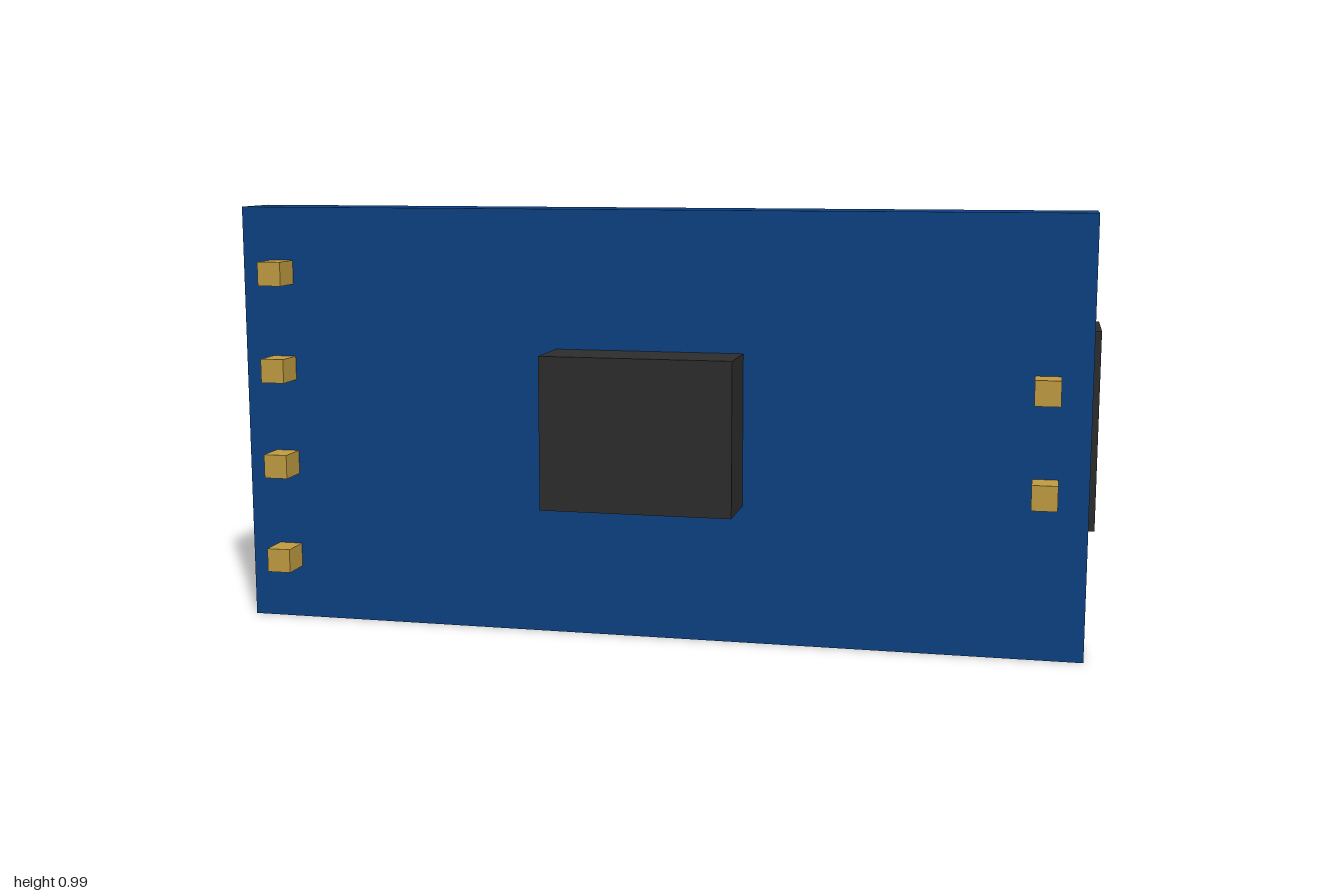
import * as THREE from 'three';

const boardBlue = new THREE.MeshStandardMaterial({ name: 'boardBlue', color: 0x0d4284 });
const plasticBlack = new THREE.MeshStandardMaterial({ name: 'plasticBlack', color: 0x2d2d2d });
const pinGold = new THREE.MeshStandardMaterial({ name: 'pinGold', color: 0xc29d42 });

const MID_Y = 0.493;
const PITCH = 0.227;
const PIN = 0.056;

// Box given by its limits along z and its centre and size in x and y
function block(name, material, x, y, width, height, zBack, zFront) {
  const mesh = new THREE.Mesh(new THREE.BoxGeometry(width, height, zFront - zBack), material);
  mesh.position.set(x, y, (zBack + zFront) / 2);
  mesh.name = name;
  return mesh;
}

// Pin header: plastic housing behind the board, pins passing through it
function pinHeader(name, x, count) {
  const header = new THREE.Group();
  header.name = name;
  header.add(block('housing', plasticBlack, x, MID_Y, PITCH, PITCH * count, -0.121, 0.104));
  for (let i = 0; i < count; i++) {
    const y = MID_Y + (i - (count - 1) / 2) * PITCH;
    header.add(block('pin' + (i + 1), pinGold, x, y, PIN, PIN, -0.39, 0.319));
  }
  return header;
}

export function createModel() {
  const model = new THREE.Group();
  model.name = 'circuitModule';
  model.add(block('board', boardBlue, 0, MID_Y, 1.964, MID_Y * 2, 0.104, 0.248));
  model.add(block('chip', plasticBlack, 0, MID_Y, 0.436, 0.348, 0.248, 0.39));
  model.add(pinHeader('fourPinHeader', -0.8865, 4));
  model.add(pinHeader('twoPinHeader', 0.8865, 2));
  return model;
}
